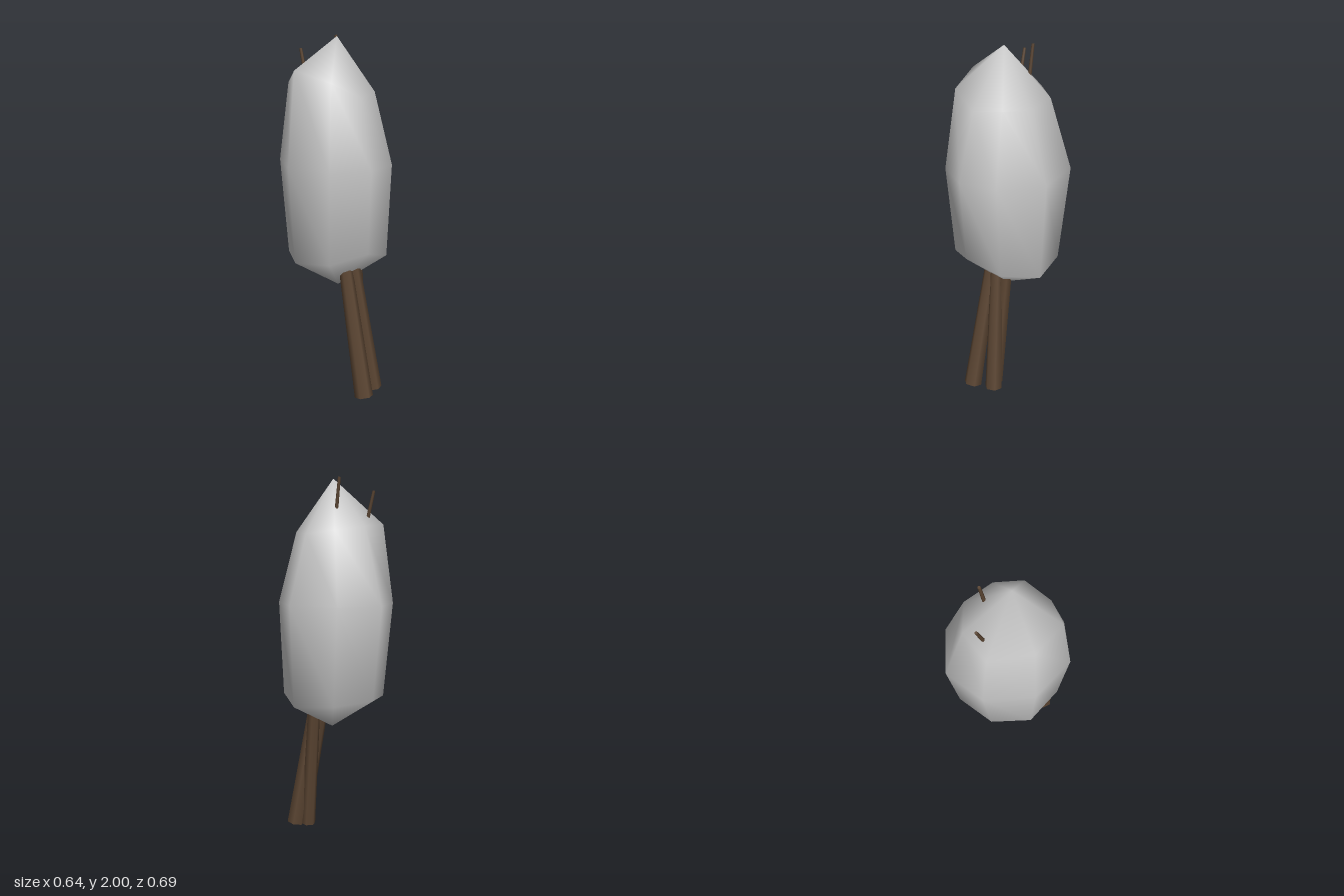
import * as THREE from 'three';

const bark = new THREE.MeshStandardMaterial({ color: 0x5b4532 });
const leaf = new THREE.MeshStandardMaterial({ color: 0xcccccc });

// Tapered six-sided limb between two points
function limb(name, from, to, r0, r1) {
  const a = new THREE.Vector3(...from), b = new THREE.Vector3(...to);
  const dir = b.clone().sub(a);
  const mesh = new THREE.Mesh(new THREE.CylinderGeometry(r1, r0, dir.length(), 6), bark);
  mesh.position.copy(a).add(b).multiplyScalar(0.5);
  mesh.quaternion.setFromUnitVectors(new THREE.Vector3(0, 1, 0), dir.normalize());
  mesh.name = name;
  return mesh;
}

// Eight-sided rings of the crown, from low to high, each corner as [x, y, z]
const rings = [
  [[0.29, 0.76, 0.03], [0.2, 0.78, -0.19], [0, 0.8, -0.29], [-0.2, 0.79, -0.18],
    [-0.285, 0.785, 0.03], [-0.2, 0.81, 0.24], [0, 0.86, 0.315], [0.19, 0.8, 0.23]],
  [[0.32, 1.32, 0.025], [0.225, 1.32, -0.245], [-0.005, 1.32, -0.345], [-0.22, 1.32, -0.23],
    [-0.32, 1.32, 0.025], [-0.22, 1.32, 0.275], [-0.005, 1.32, 0.345], [0.195, 1.32, 0.26]],
  [[0.2, 1.7, 0.025], [0.155, 1.72, -0.15], [0, 1.74, -0.225], [-0.185, 1.75, -0.185],
    [-0.275, 1.83, 0.025], [-0.175, 1.77, 0.225], [-0.005, 1.69, 0.247], [0.14, 1.71, 0.17]],
];

// Smooth closed skin over the rings, with a point at each end
function crownGeometry() {
  const n = 8;
  const points = [...rings.flat(), [0, 0.61, 0.03], [-0.01, 2, 0.03]];
  const bottom = n * rings.length, top = bottom + 1;
  const index = [];
  for (let i = 0; i < n; i++) {
    const j = (i + 1) % n;
    index.push(bottom, j, i);
    for (let k = 0; k < rings.length - 1; k++) {
      const a = k * n, b = a + n;
      index.push(a + i, a + j, b + i, a + j, b + j, b + i);
    }
    const last = n * (rings.length - 1);
    index.push(last + i, last + j, top);
  }
  const geo = new THREE.BufferGeometry();
  geo.setAttribute('position', new THREE.Float32BufferAttribute(points.flat(), 3));
  geo.setIndex(index);
  geo.computeVertexNormals();
  return geo;
}

export function createModel() {
  const tree = new THREE.Group();
  tree.name = 'tree';

  const crown = new THREE.Mesh(crownGeometry(), leaf);
  crown.name = 'crown';
  tree.add(crown);

  // Three leaning stems that run up into the crown
  tree.add(
    limb('frontStem', [0, 0.012, 0.29], [-0.018, 0.85, 0.1], 0.052, 0.036),
    limb('leftStem', [0.112, 0.012, 0.225], [0.025, 0.85, 0.115], 0.05, 0.034),
    limb('backStem', [0.065, 0.01, 0.168], [0.08, 0.85, 0.085], 0.042, 0.034),
  );

  // Thin twig tips poking out of the top
  tree.add(
    limb('leftTwig', [0.069, 1.76, -0.067], [0.069, 2, -0.098], 0.011, 0.008),
    limb('rightTwig', [-0.089, 1.74, -0.145], [-0.1, 1.93, -0.192], 0.011, 0.008),
  );
  return tree;
}
